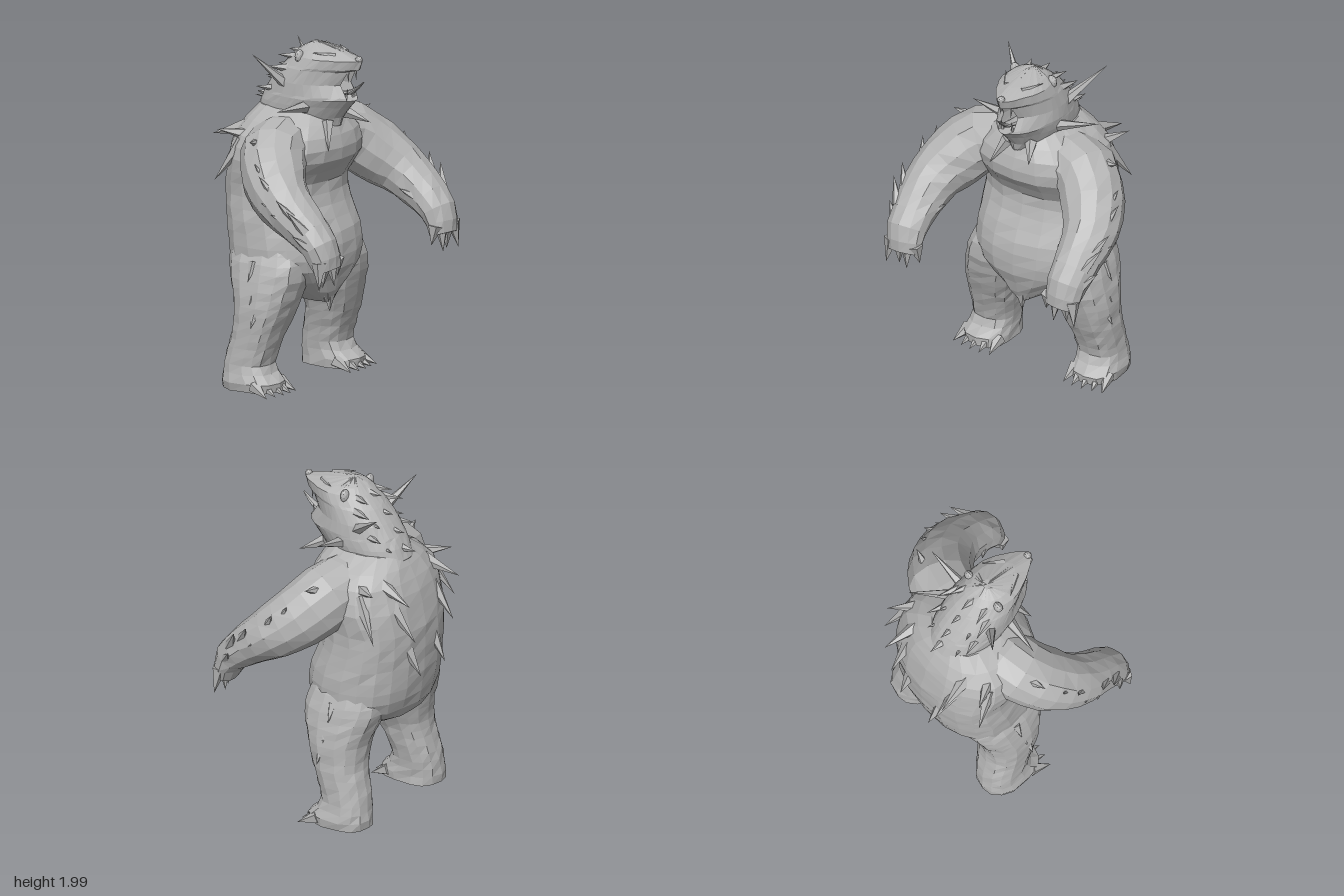
import * as THREE from 'three';

const V = (x, y, z) => new THREE.Vector3(x, y, z);
const fur = new THREE.MeshStandardMaterial({ color: 0xb4b4b4, flatShading: true });
fur.name = 'grey fur';

// Small seeded noise for a hand-cut, faceted surface
let seed = 7;
const noise = (k) => {
  seed = (seed * 16807) % 2147483647;
  return (seed / 2147483647 - 0.5) * 2 * k;
};
const pow = (v, e) => Math.sign(v) * Math.abs(v) ** e;

// Skin over a stack of rings, closed to a centre point at both ends
function loft(rings) {
  const n = rings[0].length, idx = [];
  const cap = (r) => Array(n).fill(r.reduce((s, p) => s.add(p), V(0, 0, 0)).divideScalar(n));
  const all = [cap(rings[0]), ...rings, cap(rings.at(-1))];
  for (let i = 0; i < all.length - 1; i++) {
    for (let j = 0; j < n; j++) {
      const a = i * n + j, b = i * n + (j + 1) % n;
      if (i < all.length - 2) idx.push(a, b + n, a + n);
      if (i > 0) idx.push(a, b, b + n);
    }
  }
  const g = new THREE.BufferGeometry().setFromPoints(all.flat());
  g.setIndex(idx);
  g.computeVertexNormals();
  return g;
}

// Horizontal ring: centre x, half width, back z, front z; square sets how blunt the front is
function ring([y, hw, zb, zf, cx = 0], n, square, rough, inset = 0) {
  const zc = zb + (zf - zb) * 0.45;
  return Array.from({ length: n }, (_, j) => {
    const a = (j / n) * Math.PI * 2, c = Math.cos(a), e = 2 / (c > 0 ? square : 2.3);
    const x = hw * pow(Math.sin(a), e);
    const z = zc + (c > 0 ? zf - zc : zc - zb) * pow(c, e);
    const cut = c > 0 && Math.abs(x) < 0.03 ? inset : 0;
    return V(cx + x + noise(rough), y + noise(rough), z - cut + noise(rough));
  });
}

// Smooth extra rows between the given [y, ...] rows
function refine(rows, count) {
  const spline = new THREE.CubicInterpolant(rows.map((r) => r[0]), rows.flat(), rows[0].length);
  const y0 = rows[0][0], y1 = rows.at(-1)[0];
  return Array.from({ length: count + 1 }, (_, i) => [...spline.evaluate(y0 + (y1 - y0) * i / count)]);
}

const pathCurve = (path) => new THREE.CatmullRomCurve3(path.map(([x, y, z]) => V(x, y, z)));

// Limb along [x, y, z, radius] points, with depth given as a share of the radius
function limb(path, n, rough, depth) {
  const curve = pathCurve(path), ref = V(0, 0.7, 0.7), steps = (path.length - 1) * 2;
  return loft(Array.from({ length: steps + 1 }, (_, i) => {
    const t = i / steps, k = Math.min(i >> 1, path.length - 2);
    const r = THREE.MathUtils.lerp(path[k][3], path[k + 1][3], i / 2 - k);
    const T = curve.getTangent(t), A = T.clone().cross(ref).normalize(), B = A.clone().cross(T);
    const c = curve.getPoint(t);
    return Array.from({ length: n }, (_, j) => {
      const a = (j / n) * Math.PI * 2;
      return c.clone().addScaledVector(A, r * Math.sin(a) + noise(rough))
        .addScaledVector(B, r * depth(t) * Math.cos(a) + noise(rough));
    });
  }));
}

export function createModel() {
  const model = new THREE.Group();
  const add = (name, geo) => {
    const m = new THREE.Mesh(geo, fur);
    m.name = name;
    model.add(m);
    return m;
  };
  // Pointed tuft, claw or tooth from base to tip
  const spike = (name, from, to, r) => {
    const dir = to.clone().sub(from), len = dir.length();
    const g = new THREE.ConeGeometry(r, len, 5);
    g.translate(0, len / 2, 0);
    g.applyQuaternion(new THREE.Quaternion().setFromUnitVectors(V(0, 1, 0), dir.normalize()));
    g.translate(from.x, from.y, from.z);
    add(name, g);
  };

  // Torso: belly, fold, chest and shoulders [y, half width, back, front]
  add('torso', loft(refine([
    [0.49, 0.04, -0.1, 0.1], [0.6, 0.235, -0.37, 0.145], [0.72, 0.385, -0.455, 0.18],
    [0.88, 0.408, -0.485, 0.175], [1.12, 0.39, -0.5, 0.085], [1.2, 0.39, -0.5, 0.085],
    [1.35, 0.41, -0.475, 0.18], [1.5, 0.36, -0.425, 0.165], [1.62, 0.19, -0.35, 0.09],
  ], 16).map((r) => ring(r, 20, 2.3, 0.004))));

  // Head with roaring mouth [y, half width, back, front]; the snout is more pointed than the jaw
  add('head', loft([
    [1.53, 0.12, -0.34, 0.165], [1.58, 0.18, -0.38, 0.18], [1.65, 0.187, -0.35, 0.235],
    [1.695, 0.188, -0.325, 0.28], [1.71, 0.187, -0.315, 0.275], [1.78, 0.182, -0.265, 0.225],
    [1.86, 0.168, -0.2, 0.27], [1.875, 0.163, -0.185, 0.305], [1.93, 0.145, -0.13, 0.325],
    [1.965, 0.105, -0.085, 0.2], [1.998, 0.03, -0.03, 0.03],
  ].map((r) => ring(r, 36, THREE.MathUtils.clamp(1.62 - (r[0] - 1.78) * 3, 1.35, 1.62), 0.002,
    r[0] > 1.7 && r[0] < 1.87 ? 0.145 : 0))));
  add('tongue', limb([[0, 1.71, 0.1, 0.03], [0, 1.74, 0.25, 0.028], [0, 1.81, 0.335, 0.006]], 8, 0, () => 0.5));
  add('nose', new THREE.IcosahedronGeometry(0.022, 1)).position.set(0, 1.935, 0.3);

  for (const s of [1, -1]) {
    const side = s > 0 ? 'left' : 'right';
    const put = (name, x, y, z, dx, dy, dz, r) =>
      spike(`${side} ${name}`, V(x * s, y, z), V((x + dx) * s, y + dy, z + dz), r);

    // Face details
    add(`${side} ear`, new THREE.IcosahedronGeometry(0.04, 1).scale(0.8, 1, 0.6)).position.set(0.125 * s, 1.93, -0.03);
    add(`${side} eye`, new THREE.IcosahedronGeometry(0.014, 1)).position.set(0.075 * s, 1.925, 0.145);
    put('brow', 0.05, 1.95, 0.17, 0.08, 0.015, -0.11, 0.02);
    put('upper fang', 0.035, 1.88, 0.245, 0, -0.08, 0.01, 0.012);
    put('lower fang', 0.035, 1.69, 0.23, 0, 0.08, 0.02, 0.012);

    // Arm, from shoulder to paw [x, y, z, radius]
    const path = [
      [0.16, 1.41, -0.09, 0.19], [0.34, 1.385, -0.05, 0.192], [0.46, 1.28, 0.05, 0.185],
      [0.53, 1.18, 0.18, 0.16], [0.545, 1.08, 0.32, 0.137], [0.543, 0.97, 0.445, 0.122],
      [0.535, 0.84, 0.495, 0.1],
    ];
    add(`${side} arm`, limb(path.map(([x, ...r]) => [x * s, ...r]), 12, 0.005, (t) => 1 - 0.4 * t ** 4));
    for (let i = 0; i < 4; i++)
      put('finger claw', 0.455 + i * 0.054, 0.9, 0.495, (i - 1.5) * 0.016, i ? -0.155 : -0.11, (i % 2) * 0.03 - 0.01, 0.045);

    // Tufts swept back along the arm, every third one on the inside
    const curve = pathCurve(path);
    for (let i = 0; i < 11; i++) {
      const t = 0.36 + i * 0.046, c = curve.getPoint(t), back = curve.getTangent(t).multiplyScalar(-0.1);
      const out = i % 3 === 2 ? -1 : 1, lift = i % 2 ? 0.06 : 0;
      put('arm tuft', c.x + out * 0.09, c.y + lift, c.z, out * 0.075 + back.x, lift + back.y, back.z, 0.035);
    }

    // Leg and flat foot [y, half width, back, front, centre x]
    add(`${side} leg`, loft(refine([
      [0.02, 0.135, -0.36, 0.015, 0.365], [0.06, 0.14, -0.36, 0.02, 0.37], [0.14, 0.132, -0.35, -0.06, 0.36],
      [0.24, 0.135, -0.33, -0.045, 0.35], [0.36, 0.147, -0.3, 0, 0.335],
      [0.52, 0.172, -0.31, 0.055, 0.305], [0.72, 0.175, -0.38, 0.1, 0.26], [0.9, 0.14, -0.38, 0.04, 0.22],
    ], 18).map(([y, w, b, f, x]) => ring([y, w, b, f, x * s], 14, 2.8, 0.004))));
    for (let i = 0; i < 5; i++)
      put('toe claw', 0.265 + i * 0.052, 0.06, -0.05 - Math.abs(i - 1.5) * 0.012, (i - 1) * 0.012, -0.05, 0.115, 0.042);

    // Hip tufts, then small tufts from crown to neck
    for (let i = 0; i < 3; i++)
      put('hip tuft', 0.4 + i * 0.02, 0.76 - i * 0.13, -0.14 + i * 0.025, 0.06, -0.1, 0, 0.033);
    for (let i = 0; i < 5; i++)
      put('neck tuft', 0.075 + (i % 2) * 0.05, 1.915 - i * 0.065, -0.06 - i * 0.04, 0.045, 0, -0.13, 0.03);

    // Large shoulder and back tufts: base, then reach
    [
      [0.42, 1.47, -0.08, 0.14, 0.04, 0.03], [0.33, 1.44, -0.27, 0.08, -0.24, -0.15],
      [0.21, 1.49, -0.34, 0.04, -0.07, -0.22], [0.2, 1.37, -0.4, -0.01, -0.2, -0.16],
      [0.29, 1.47, -0.24, 0.11, 0.03, -0.17], [0.13, 1.1, -0.45, -0.01, -0.17, -0.1],
    ].forEach((p) => put('back tuft', ...p, 0.045));
  }

  // Long uneven spikes round the neck: base, then tip
  [
    [-0.14, 1.75, -0.1, -0.31, 1.95, -0.23], [0.14, 1.75, -0.12, 0.28, 1.92, -0.36],
    [0.15, 1.65, -0.03, 0.43, 1.74, -0.05], [-0.14, 1.65, 0.03, -0.39, 1.66, 0.01],
    [-0.07, 1.56, 0.13, -0.15, 1.41, 0.2], [0.09, 1.59, 0.13, 0.16, 1.53, 0.26],
  ].forEach((p) => spike('neck spike', V(...p.slice(0, 3)), V(...p.slice(3)), 0.037));

  // Ridge down the back and the tuft below the belly
  for (let i = 0; i < 4; i++) {
    const y = 1.925 - i * 0.095, z = -0.08 - i * 0.077;
    spike('back ridge tuft', V(0, y, z), V(0, y, z - 0.12), 0.032);
  }
  for (const x of [-0.06, 0, 0.06])
    spike('belly tuft', V(x, 0.64, 0.08), V(x * 0.7, x ? 0.5 : 0.43, 0.09), 0.075);

  return model;
}
